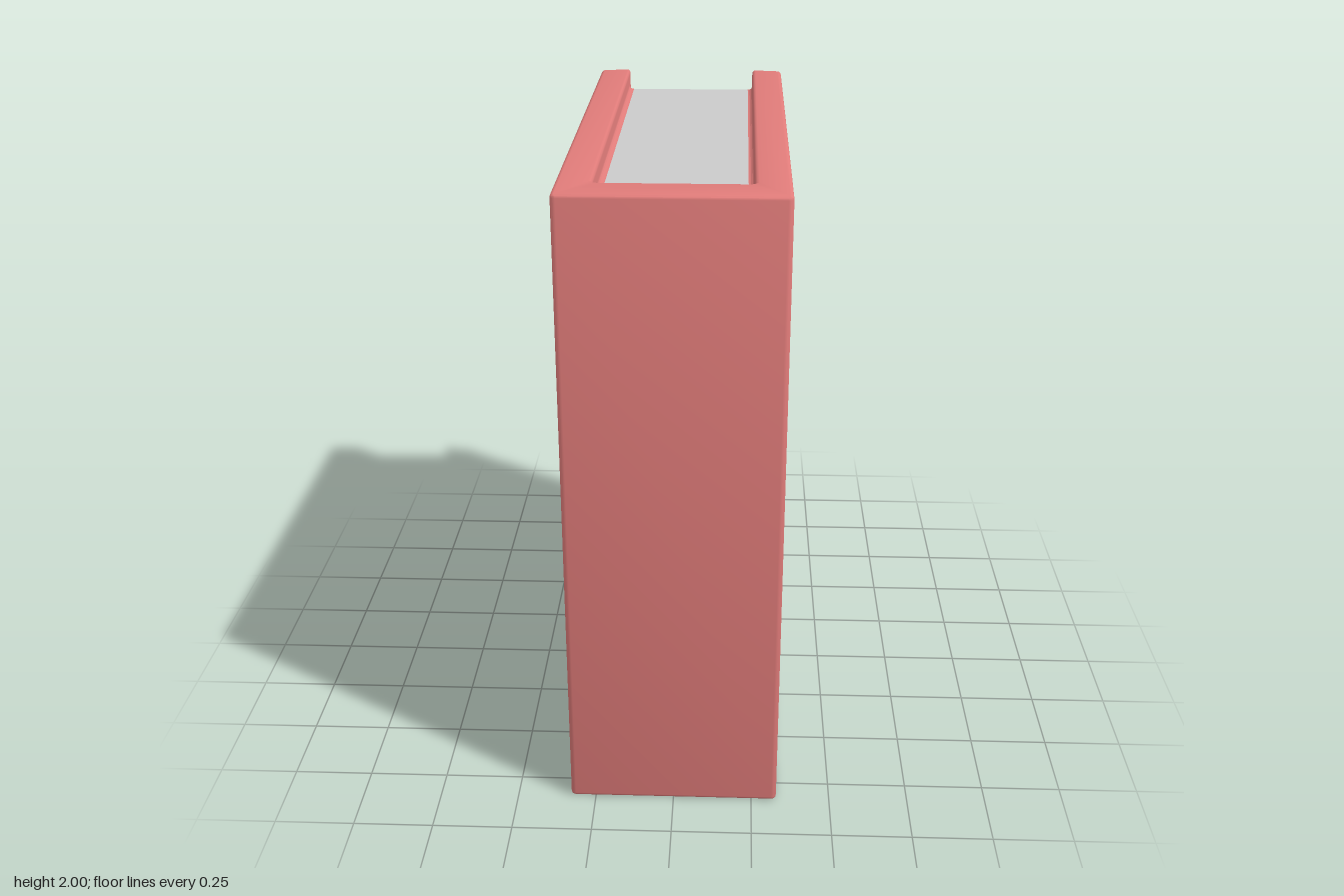
import * as THREE from 'three';
import { toCreasedNormals } from 'three/addons/utils/BufferGeometryUtils.js';

const red = new THREE.MeshStandardMaterial({ color: 0xe17c7a });
const grey = new THREE.MeshStandardMaterial({ color: 0xcccccc });

const HEIGHT = 2, BEVEL = 0.012, FILLET = 0.016;
const INNER_X = 0.225, INNER_Z = 0.71, PAGE_BACK = -0.775, PAGE_INSET = 0.06;

// closed outline whose corners are rounded by radius r
function roundedOutline(points, r) {
  const shape = new THREE.Shape();
  const v = points.map(([x, y]) => new THREE.Vector2(x, y));
  v.forEach((p, i) => {
    const toward = (q) => p.clone().add(q.clone().sub(p).setLength(r));
    const a = toward(v[(i + v.length - 1) % v.length]);
    const b = toward(v[(i + 1) % v.length]);
    if (i === 0) shape.moveTo(a.x, a.y); else shape.lineTo(a.x, a.y);
    shape.quadraticCurveTo(p.x, p.y, b.x, b.y);
  });
  shape.closePath();
  return shape;
}

// U-shaped hard cover with spine, extruded upwards
function coverGeometry() {
  const outline = roundedOutline([
    [-0.33, -0.838], [0.33, -0.838], [0.33, 0.825], [INNER_X, 0.842],
    [INNER_X, -INNER_Z], [-INNER_X, -INNER_Z], [-INNER_X, 0.842], [-0.33, 0.825],
  ], 0.016);
  const geo = new THREE.ExtrudeGeometry(outline, {
    depth: HEIGHT - 2 * BEVEL, curveSegments: 4,
    bevelThickness: BEVEL, bevelSize: BEVEL, bevelOffset: -BEVEL, bevelSegments: 3,
  });
  geo.translate(0, 0, BEVEL).rotateX(-Math.PI / 2);
  return toCreasedNormals(geo, 0.6);
}

// concave strip in a corner; u and v point away from the two walls
function filletStrip(name, origin, u, v, length) {
  const shape = new THREE.Shape();
  shape.moveTo(0, 0);
  shape.lineTo(FILLET, 0);
  shape.quadraticCurveTo(0, 0, 0, FILLET);
  shape.closePath();
  const geo = new THREE.ExtrudeGeometry(shape, { depth: length, bevelEnabled: false, curveSegments: 4 });
  geo.translate(0, 0, -length / 2);
  const U = new THREE.Vector3(...u), V = new THREE.Vector3(...v);
  geo.applyMatrix4(new THREE.Matrix4().makeBasis(U, V, U.clone().cross(V)));
  const mesh = new THREE.Mesh(toCreasedNormals(geo, 0.6), red);
  mesh.position.set(...origin);
  mesh.name = name;
  return mesh;
}

export function createModel() {
  const book = new THREE.Group();
  book.name = 'book';

  const cover = new THREE.Mesh(coverGeometry(), red);
  cover.name = 'cover';
  book.add(cover);

  // page block, set back from the cover edges
  const depth = INNER_Z - PAGE_BACK, midZ = (INNER_Z + PAGE_BACK) / 2;
  const pageHeight = HEIGHT - 2 * PAGE_INSET;
  const pages = new THREE.Mesh(new THREE.BoxGeometry(2 * INNER_X, pageHeight, depth), grey);
  pages.position.set(0, HEIGHT / 2, midZ);
  pages.name = 'pages';
  book.add(pages);

  // cover fillets where the pages meet the boards and spine
  for (const end of [-1, 1]) {
    const y = HEIGHT / 2 + end * pageHeight / 2;
    for (const side of [-1, 1]) {
      book.add(filletStrip('boardFillet', [side * INNER_X, y, midZ], [-side, 0, 0], [0, end, 0], depth));
    }
    book.add(filletStrip('spineFillet', [0, y, INNER_Z], [0, 0, -1], [0, end, 0], 2 * INNER_X));
  }
  for (const side of [-1, 1]) {
    book.add(filletStrip('foreEdgeFillet', [side * INNER_X, HEIGHT / 2, PAGE_BACK], [-side, 0, 0], [0, 0, -1], pageHeight));
  }
  return book;
}
